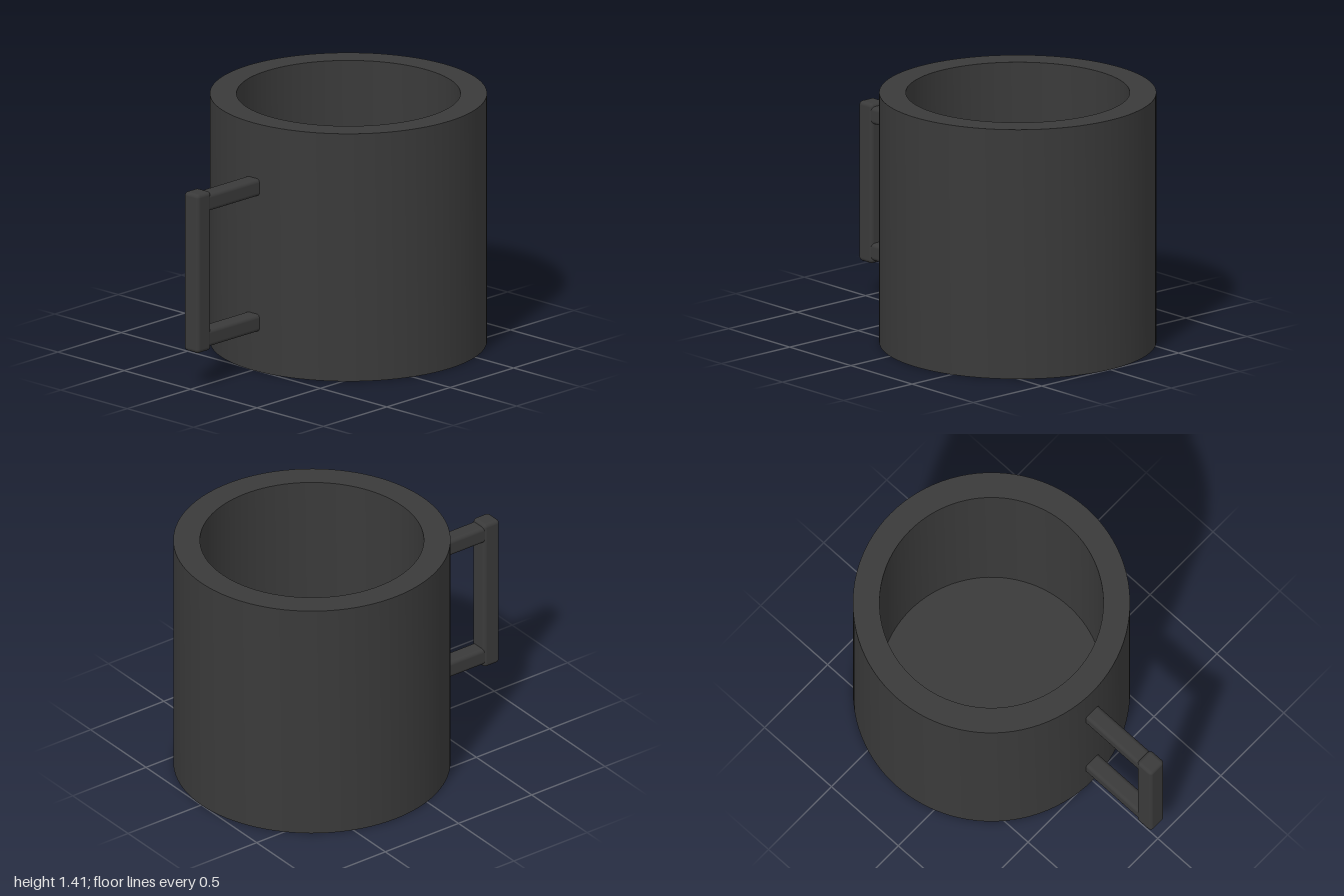
import * as THREE from 'three';
import { toCreasedNormals } from 'three/addons/utils/BufferGeometryUtils.js';
import { RoundedBoxGeometry } from 'three/addons/geometries/RoundedBoxGeometry.js';

const HEIGHT = 1.41, OUTER = 0.755, INNER = 0.61, FLOOR = 0.14, CUP_Z = -0.245;

export function createModel() {
  const model = new THREE.Group();
  model.name = 'mug';
  const material = new THREE.MeshStandardMaterial({ color: 0x3a3a3a });

  // Hollow cup: closed base, straight thick wall, flat rim
  const profile = [
    [0, 0], [OUTER, 0], [OUTER, HEIGHT], [INNER, HEIGHT], [INNER, FLOOR], [0, FLOOR],
  ].map(([r, y]) => new THREE.Vector2(r, y));
  const cup = new THREE.Mesh(toCreasedNormals(new THREE.LatheGeometry(profile, 96), 0.6), material);
  cup.name = 'cup';
  cup.position.z = CUP_Z;
  model.add(cup);

  // Squared handle made of softly rounded bars
  const handle = new THREE.Group();
  handle.name = 'handle';
  const addBar = (name, width, [y0, y1], [z0, z1]) => {
    const bar = new THREE.Mesh(new RoundedBoxGeometry(width, y1 - y0, z1 - z0, 3, 0.022), material);
    bar.name = name;
    bar.position.set(0, (y0 + y1) / 2, (z0 + z1) / 2);
    handle.add(bar);
  };
  addBar('grip', 0.11, [0.21, 1.115], [0.89, 1]);
  addBar('upperArm', 0.1, [1.0, 1.098], [0.43, 0.94]);
  addBar('lowerArm', 0.1, [0.228, 0.326], [0.43, 0.94]);
  model.add(handle);

  return model;
}
